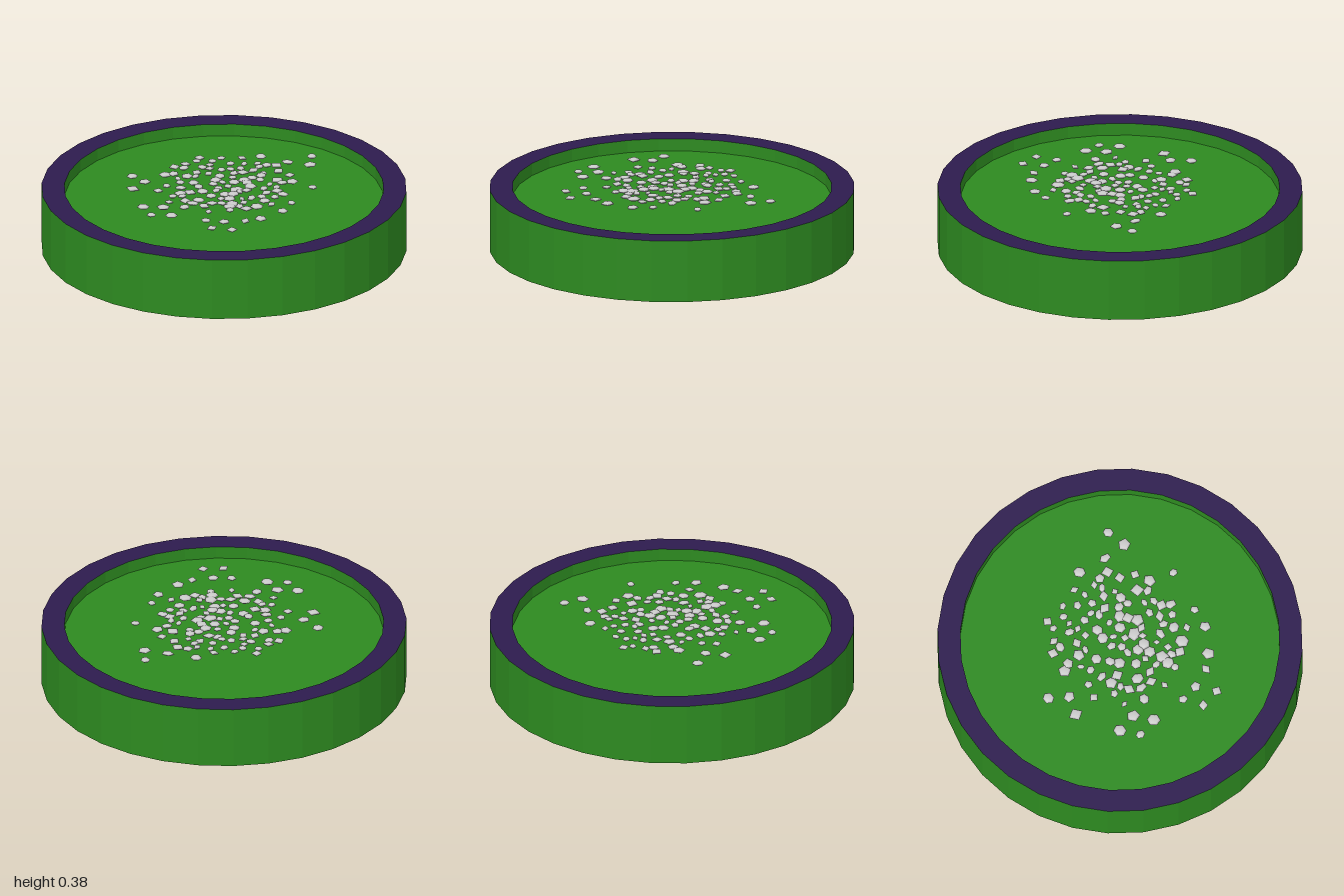
import * as THREE from 'three';

const SIDES = 32, HEIGHT = 0.35, FLOOR = 0.28, INNER = 0.875;

// Small seeded generator for the pebble scatter
function seeded(seed) {
  return () => {
    seed = (seed * 1664525 + 1013904223) % 4294967296;
    return seed / 4294967296;
  };
}

function lathe(name, profile, material) {
  const points = profile.map(([r, y]) => new THREE.Vector2(r, y));
  const mesh = new THREE.Mesh(new THREE.LatheGeometry(points, SIDES), material);
  mesh.name = name;
  return mesh;
}

export function createModel() {
  const model = new THREE.Group();
  model.name = 'pebbleDish';
  const green = new THREE.MeshStandardMaterial({ color: 0x2d8a20, flatShading: true });
  const purple = new THREE.MeshStandardMaterial({ color: 0x2d1b4e, flatShading: true });
  const grey = new THREE.MeshStandardMaterial({ color: 0xcccccc });

  // Dish: underside and outer wall, then inner wall and recessed floor
  model.add(lathe('outerShell', [[0, 0], [1, 0], [1, HEIGHT]], green));
  model.add(lathe('innerBowl', [[INNER, HEIGHT], [INNER, FLOOR], [0, FLOOR]], green));

  // Flat rim
  model.add(lathe('rim', [[1, HEIGHT], [INNER, HEIGHT]], purple));

  // Pebbles: flattened faceted lumps hovering in a thin layer at rim level
  const pebbles = new THREE.Group();
  pebbles.name = 'pebbles';
  model.add(pebbles);
  const random = seeded(7);
  const shapes = [4, 5, 6].map((n) => new THREE.SphereGeometry(1, n, 4));
  const placed = [];
  function addPebble(x, z, size) {
    const pebble = new THREE.Mesh(shapes[Math.floor(random() * 3)], grey);
    pebble.name = 'pebble';
    pebble.position.set(x, 0.359 + random() * 0.009, z);
    pebble.scale.set(size, 0.01, size * (0.65 + random() * 0.5));
    pebble.rotation.y = random() * Math.PI * 2;
    pebbles.add(pebble);
    placed.push([x, z]);
  }

  // Stray pebbles around the edge of the scatter
  const strays = [
    [0.36, -0.51], [0.25, -0.41], [0.38, -0.4], [0.09, -0.44], [0.15, -0.34], [0, -0.38],
    [-0.23, -0.34], [-0.11, -0.35], [0.31, -0.23], [0.475, -0.1], [-0.33, -0.18], [-0.28, -0.23],
    [-0.52, 0], [-0.35, -0.06], [-0.43, 0.07], [-0.47, 0.17], [-0.33, 0.16], [0.42, 0.14],
    [0.32, 0.19], [0.4, 0.25], [0.31, 0.08], [0.3, 0], [-0.35, 0.4], [-0.24, 0.385],
    [-0.13, 0.35], [-0.28, 0.49], [-0.17, 0.475], [0.01, 0.36], [0.03, 0.49], [0.13, 0.48],
    [0.24, 0.44], [0.31, 0.38], [0.09, 0.59], [0.2, 0.575], [0.12, 0.32], [0.2, 0.27],
    [-0.23, 0.3], [-0.1, 0.29], [-0.18, 0.21], [0, 0.25], [-0.24, 0.03], [-0.23, -0.08],
  ];
  for (const [x, z] of strays) addPebble(x, z, 0.024 + random() * 0.015);

  // Denser middle, filled with a minimum spacing
  for (let tries = 0; tries < 4000 && placed.length < 118; tries++) {
    const angle = random() * Math.PI * 2;
    const reach = Math.pow(random(), 0.65);
    const x = 0.02 + Math.cos(angle) * reach * 0.36;
    const z = -0.03 + Math.sin(angle) * reach * 0.37;
    if (placed.every(([px, pz]) => Math.hypot(px - x, pz - z) > 0.045)) {
      addPebble(x, z, 0.022 + random() * 0.017);
    }
  }
  return model;
}
